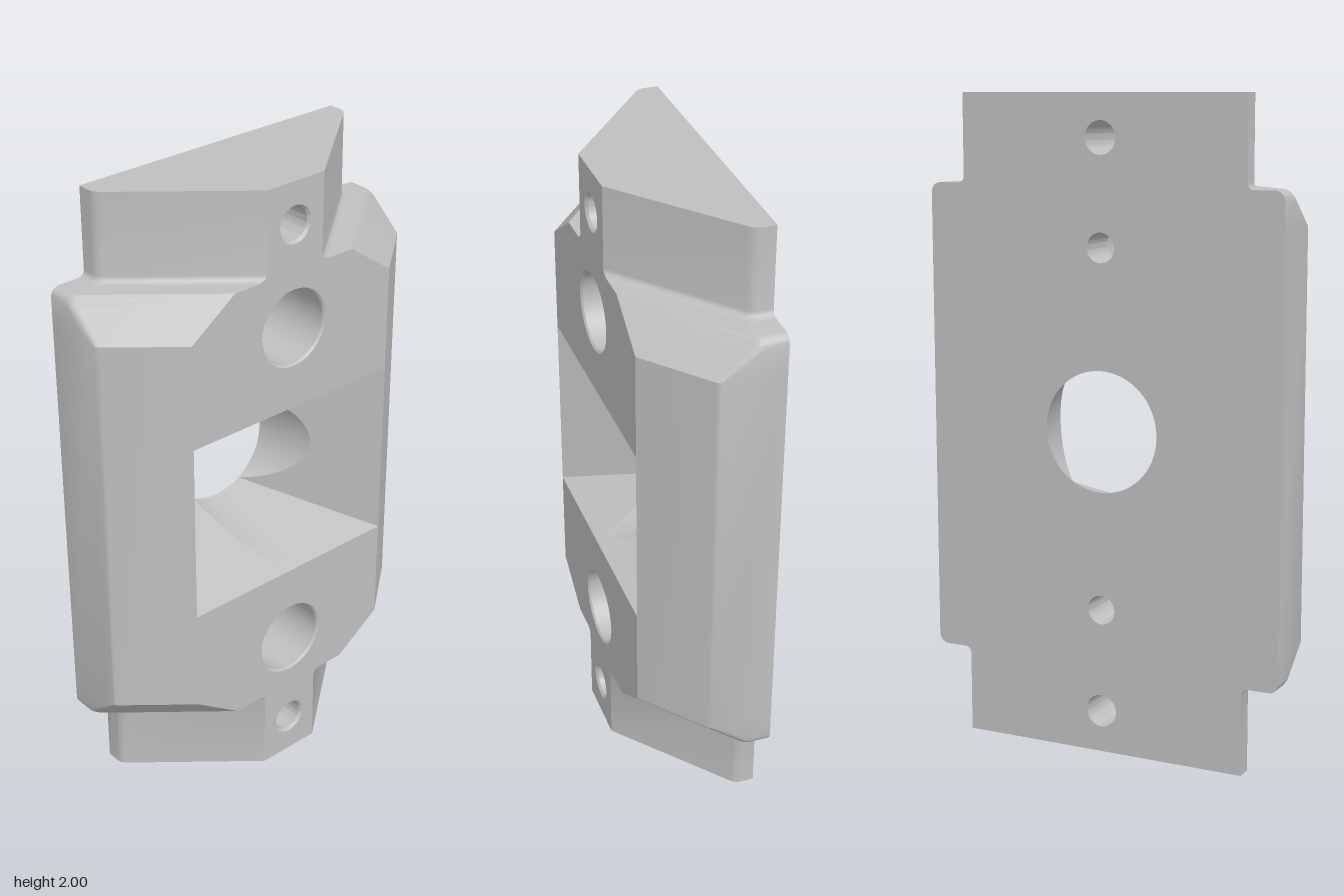
import * as THREE from 'three';
import { toCreasedNormals } from 'three/addons/utils/BufferGeometryUtils.js';

const BACK = -0.18, FRONT = 0.18, SLOPE = 1.2, MID = 1;
const POCKET_Z = 0.376, POCKET_Y = 0.29, BORE_R = 0.185;
const SCREW_H = 0.87, SCREW_R = 0.05, SINK_H = 0.55, SINK_R = 0.122, PIN_R = 0.045;

// Surface through rows of points, with sharp edges kept
function grid(rows) {
  const n = rows[0].length, index = [];
  for (let j = 0; j < rows.length - 1; j++) {
    for (let i = 0; i < n - 1; i++) {
      const a = j * n + i, b = a + 1, c = a + n, d = c + 1;
      index.push(a, b, d, a, d, c);
    }
  }
  const g = new THREE.BufferGeometry();
  g.setAttribute('position', new THREE.Float32BufferAttribute(rows.flat(2), 3));
  g.setIndex(index);
  return toCreasedNormals(g, 0.5);
}

// Half-height levels: distance h from the middle, side half width, bevel offset
function levels() {
  const list = [
    { h: 0.62, side: 0.58, bevel: 0.592 },
    { h: 0.70, side: 0.58, bevel: 0.4785 },
  ];
  for (let i = 1; i <= 5; i++) { // rounded shoulder
    const a = (i / 5) * Math.PI / 2, h = 0.70 + 0.03 * Math.sin(a);
    list.push({ h, side: 0.55 + 0.03 * Math.cos(a), bevel: 0.592 - (h - 0.62) / 0.11 * 0.156 });
  }
  for (let i = 0; i <= 5; i++) { // fillet into the end tab
    const a = (i / 5) * Math.PI / 2, s = Math.sin(a);
    list.push({ h: 0.75 - 0.02 * Math.cos(a), side: 0.485 - 0.02 * s, bevel: 0.352 - 0.031 * s });
  }
  list.push({ h: 1, side: 0.465, bevel: 0.321 });
  return list;
}

const faceHalf = (l) => l.bevel - SLOPE * FRONT;

// Half cross-section from back to front as [x, z], with a softened bevel corner
function section(l) {
  const x = (l.bevel - l.side) / SLOPE, r = 0.02;
  const curve = new THREE.QuadraticBezierCurve(
    new THREE.Vector2(x - r, l.side),
    new THREE.Vector2(x, l.side),
    new THREE.Vector2(x + r * 0.64, l.side - r * 0.64 * SLOPE));
  return [[BACK, l.side], ...curve.getPoints(4).map((p) => [p.x, p.y]), [FRONT, faceHalf(l)]];
}

// Flat face with round holes given as [y, radius]
function flat(points, holes = []) {
  const shape = new THREE.Shape(points.map(([u, v]) => new THREE.Vector2(u, v)));
  for (const [y, r] of holes) {
    shape.holes.push(new THREE.Path().absarc(0, y, r, 0, Math.PI * 2, true));
  }
  return new THREE.ShapeGeometry(shape, 32);
}

// Both sides of an outline given as [halfWidth, y]
const mirrored = (pts) => [...pts, ...pts.map(([u, v]) => [-u, v]).reverse()];

// Round hole along x from a [radius, x] profile
const bore = (profile) => toCreasedNormals(
  new THREE.LatheGeometry(profile.map(([r, x]) => new THREE.Vector2(r, x)), 48).rotateZ(-Math.PI / 2), 0.5);

export function createModel() {
  const group = new THREE.Group();
  const grey = new THREE.MeshStandardMaterial({ color: 0xbfbfbf, side: THREE.DoubleSide });
  grey.name = 'grey';
  const add = (name, geometry, x = 0, y = 0) => {
    const mesh = new THREE.Mesh(geometry, grey);
    mesh.name = name;
    mesh.position.set(x, y, 0);
    group.add(mesh);
  };

  // Bevelled flanks, lofted from bottom to top
  const half = levels();
  const all = [...half.map((l) => ({ ...l, h: -l.h })).reverse(), ...half];
  const ring = (l) => section(l).map(([x, z]) => [x, MID + l.h, z]);
  add('leftFlank', grid(all.map(ring)));
  add('rightFlank', grid(all.map((l) => ring(l).map(([x, y, z]) => [x, y, -z]).reverse())));

  // End caps
  const cap = section(half[half.length - 1]);
  const capOutline = [...cap, ...cap.map(([x, z]) => [x, -z]).reverse()];
  add('topCap', flat(capOutline).rotateX(-Math.PI / 2), 0, 2);
  add('bottomCap', flat(capOutline).rotateX(Math.PI / 2), 0, 0);

  // Back plate
  const backHoles = [[0, BORE_R]];
  for (const s of [1, -1]) backHoles.push([s * SCREW_H, SCREW_R], [s * SINK_H, PIN_R]);
  add('backPlate', flat(mirrored(all.map((l) => [l.side, l.h])), backHoles).rotateY(-Math.PI / 2), BACK, MID);

  // Front faces and screw holes above and below the pocket
  for (const s of [1, -1]) {
    const where = s > 0 ? 'upper' : 'lower';
    const edge = [[POCKET_Z, s * POCKET_Y], ...half.map((l) => [faceHalf(l), s * l.h])];
    const holes = [[s * SCREW_H, SCREW_R + 0.008], [s * SINK_H, SINK_R]];
    add(where + 'FrontFace', flat(mirrored(edge), holes).rotateY(Math.PI / 2), FRONT, MID);
    add(where + 'ScrewHole', bore([
      [SCREW_R + 0.008, FRONT], [SCREW_R, FRONT - 0.008], [SCREW_R, BACK]]), 0, MID + s * SCREW_H);
    add(where + 'Counterbore', bore([
      [SINK_R, FRONT], [SINK_R - 0.006, FRONT - 0.006], [SINK_R - 0.006, -0.05],
      [PIN_R, -0.05], [PIN_R, BACK]]), 0, MID + s * SINK_H);
  }

  // Tapered rectangular pocket merged with a conical centre hole
  const N = 24, ROWS = 6;
  const cone = (x) => BORE_R + 0.285 * (x - BACK);
  const signs = [[1, -1], [1, 1], [-1, 1], [-1, -1]];
  const corner = (i, x) => {
    const f = (x - BACK) / (FRONT - BACK), [sz, sy] = signs[i % 4];
    return [sz * THREE.MathUtils.lerp(0.094, POCKET_Z, f), sy * THREE.MathUtils.lerp(0.159, POCKET_Y, f)];
  };
  for (let i = 0; i < 4; i++) {
    const coneRows = Array.from({ length: ROWS + 1 }, () => []), wallRows = [[], []];
    for (let k = 0; k <= N; k++) {
      const wall = (x) => {
        const a = corner(i, x), b = corner(i + 1, x), t = k / N;
        return [a[0] + (b[0] - a[0]) * t, a[1] + (b[1] - a[1]) * t];
      };
      // depth where the cone meets this line of the wall
      let lo = BACK, hi = FRONT;
      for (let n = 0; n < 30; n++) {
        const m = (lo + hi) / 2;
        if (Math.hypot(...wall(m)) < cone(m)) lo = m; else hi = m;
      }
      for (let j = 0; j <= ROWS; j++) {
        const x = BACK + (lo - BACK) * j / ROWS, [z, y] = wall(x), q = cone(x) / Math.hypot(z, y);
        coneRows[j].push([x, MID + y * q, z * q]);
      }
      [lo, FRONT].forEach((x, j) => {
        const [z, y] = wall(x);
        wallRows[j].push([x, MID + y, z]);
      });
    }
    const side = ['left', 'top', 'right', 'bottom'][i];
    add(side + 'CentreBore', grid(coneRows));
    add(side + 'PocketWall', grid(wallRows));
  }
  return group;
}
